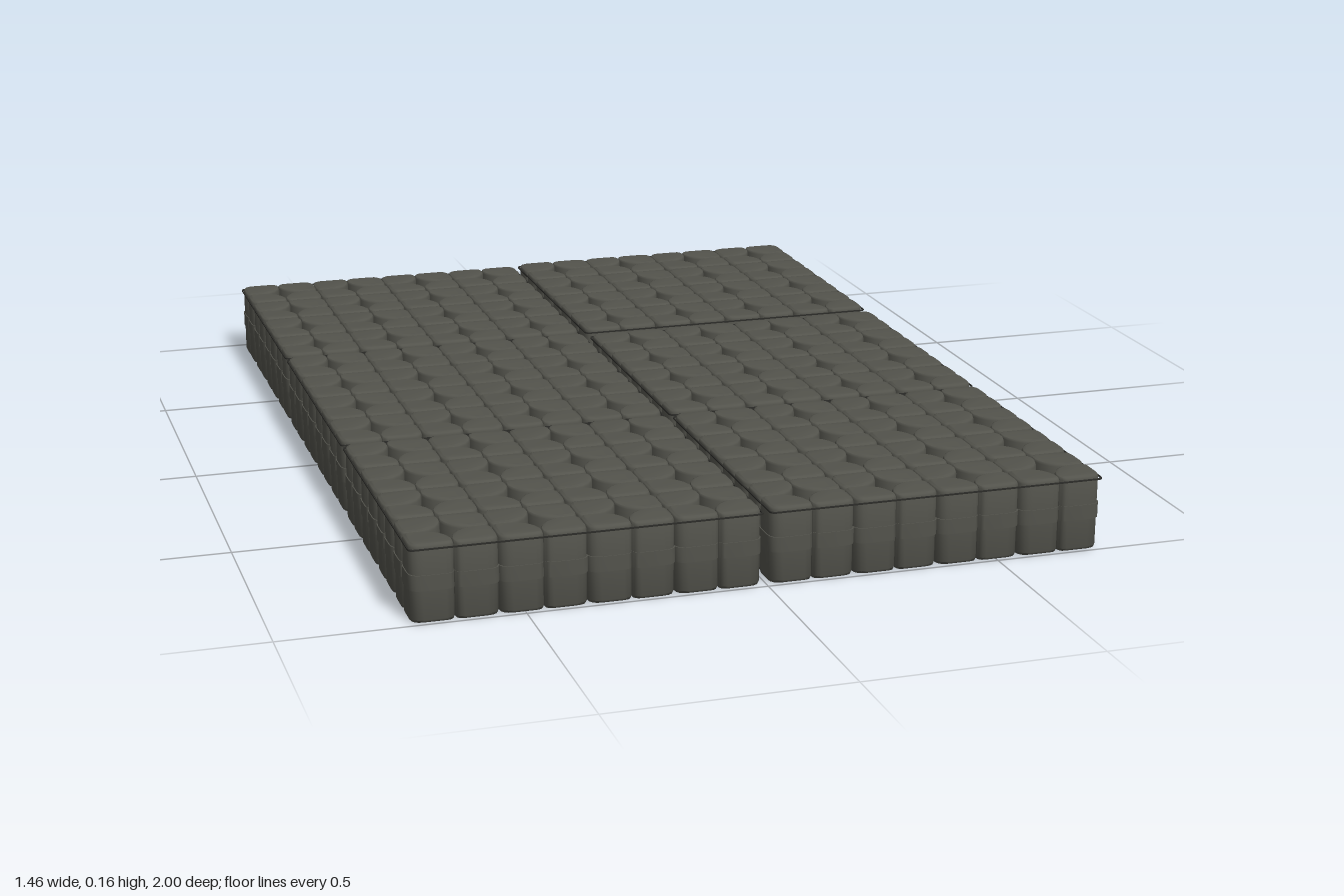
import * as THREE from 'three';
import { mergeGeometries, toCreasedNormals } from 'three/addons/utils/BufferGeometryUtils.js';

const HEIGHT = 0.163;
const COLS = 4, ROWS = 4;

// Outline of one lobe: the corner nearest the cell centre is cut by a wide arc
function lobeShape(w, d, sx, sz, grow) {
  const inner = 0.05, mid = 0.018, outer = 0.026;
  const W = w + grow, D = d + grow;
  const s = new THREE.Shape();
  const to = (x, z) => s.lineTo(x * sx, z * sz);
  const arc = (cx, cz, x, z) => s.quadraticCurveTo(cx * sx, cz * sz, x * sx, z * sz);
  s.moveTo(inner * sx, 0);
  to(W - mid, 0);
  arc(W, 0, W, mid);
  to(W, D - outer);
  arc(W, D, W - outer, D);
  to(mid, D);
  arc(0, D, 0, D - mid);
  to(0, inner);
  arc(0.008, 0.008, inner, 0);
  return s;
}

function upright(shape, y, depth, bevel) {
  const g = new THREE.ExtrudeGeometry(shape, {
    depth: depth - 2 * bevel, curveSegments: 4,
    bevelEnabled: bevel > 0, bevelSize: bevel, bevelThickness: bevel,
    bevelOffset: -bevel, bevelSegments: 2,
  });
  g.rotateX(-Math.PI / 2);
  g.translate(0, y + bevel, 0);
  return g;
}

// Four mirrored lobes around an open star
function cellGeometry(w, d, y, h, bevel, grow) {
  const lobes = [];
  for (const sx of [-1, 1]) for (const sz of [-1, 1]) {
    lobes.push(upright(lobeShape(w / 2, d / 2, sx, sz, grow), y, h, bevel));
  }
  return toCreasedNormals(mergeGeometries(lobes), 0.9);
}

// Repeat one cell over the whole block
function gridGeometry(cell, w, d) {
  const copies = [];
  for (let i = 0; i < COLS; i++) for (let j = 0; j < ROWS; j++) {
    copies.push(cell.clone().translate((i - (COLS - 1) / 2) * w, 0, (j - (ROWS - 1) / 2) * d));
  }
  return mergeGeometries(copies);
}

function roundedRect(target, x, z, r) {
  target.moveTo(-x + r, -z);
  target.lineTo(x - r, -z);
  target.quadraticCurveTo(x, -z, x, -z + r);
  target.lineTo(x, z - r);
  target.quadraticCurveTo(x, z, x - r, z);
  target.lineTo(-x + r, z);
  target.quadraticCurveTo(-x, z, -x, z - r);
  target.lineTo(-x, -z + r);
  target.quadraticCurveTo(-x, -z, -x + r, -z);
  return target;
}

// Thin loop tied around the top of a block
function cordGeometry(w, d) {
  const s = roundedRect(new THREE.Shape(), w / 2 + 0.003, d / 2 + 0.003, 0.012);
  s.holes.push(roundedRect(new THREE.Path(), w / 2, d / 2, 0.011));
  return upright(s, 0.152, 0.003, 0);
}

export function createModel() {
  const stone = new THREE.MeshStandardMaterial({ color: 0x53534c });
  stone.name = 'greyStone';
  const dark = new THREE.MeshStandardMaterial({ color: 0x2c2c29 });
  dark.name = 'darkCord';

  const model = new THREE.Group();
  model.name = 'pavingSet';

  // [x min, x max, z min, z max] of each block
  const blocks = [
    [-0.73, -0.012, -0.977, -0.337],
    [-0.73, -0.012, -0.323, 0.335],
    [-0.73, -0.012, 0.35, 0.995],
    [0.007, 0.728, -0.995, -0.34],
    [0.007, 0.728, -0.305, 0.335],
    [0.007, 0.728, 0.35, 0.995],
  ];

  blocks.forEach(([x0, x1, z0, z1], n) => {
    const w = (x1 - x0) / COLS, d = (z1 - z0) / ROWS;
    const block = new THREE.Group();
    block.name = 'block' + (n + 1);
    const add = (geometry, material, name) => {
      const mesh = new THREE.Mesh(geometry, material);
      mesh.name = name;
      block.add(mesh);
    };
    // Lobed body with softened top and bottom edges
    add(gridGeometry(cellGeometry(w, d, 0, HEIGHT, 0.007, 0), w, d), stone, 'lobes');
    // Slightly raised band at mid height
    add(gridGeometry(cellGeometry(w, d, 0.068, 0.032, 0, 0.002), w, d), stone, 'middleBand');
    add(cordGeometry(x1 - x0, z1 - z0), dark, 'cord');
    block.position.set((x0 + x1) / 2, 0, (z0 + z1) / 2);
    model.add(block);
  });

  return model;
}
